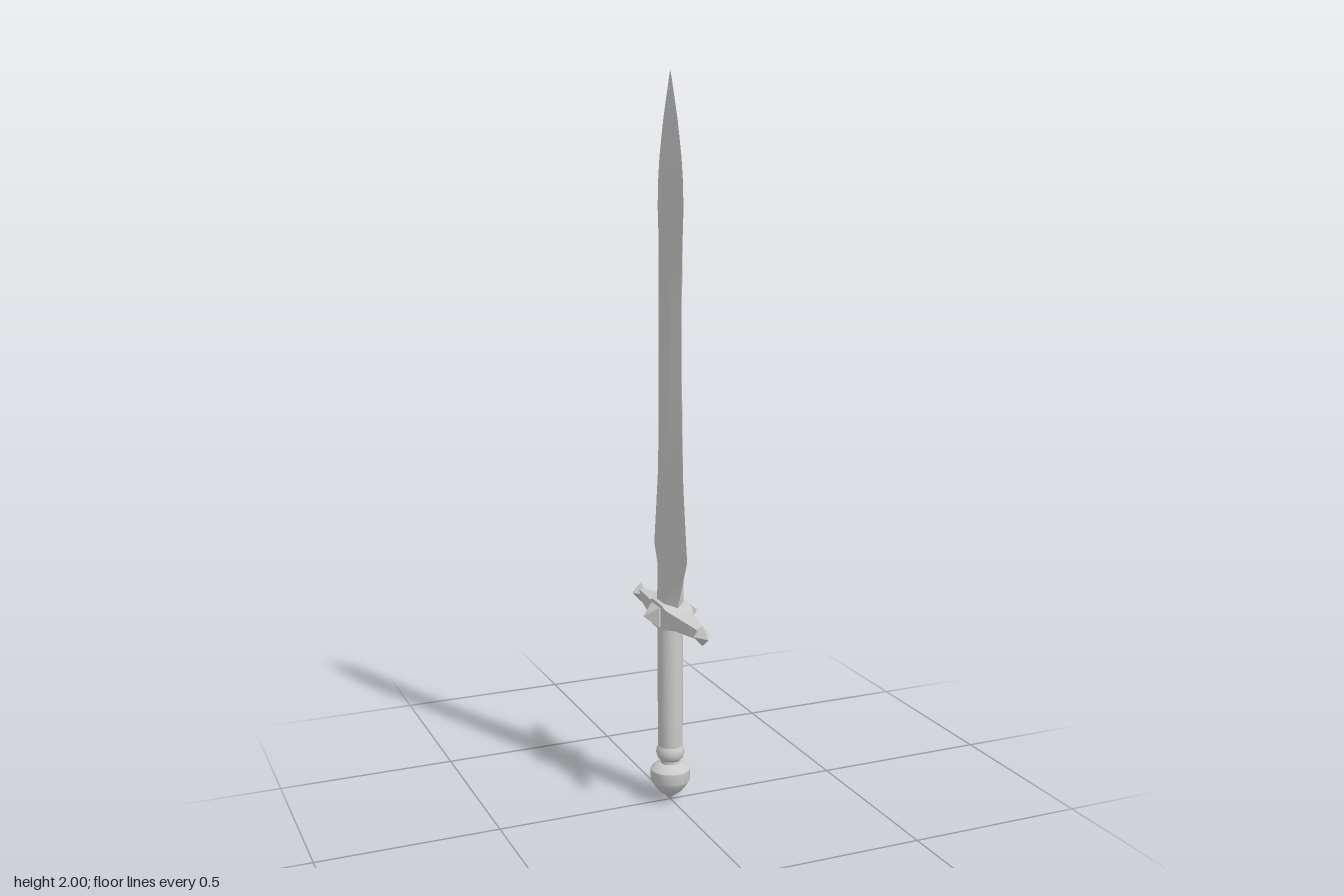
import * as THREE from 'three';
import { toCreasedNormals } from 'three/addons/utils/BufferGeometryUtils.js';

const grey = new THREE.MeshStandardMaterial({ color: 0xcccccc });

// Skins a stack of closed rings [[x, y, z], ...] running up +y, with capped ends.
function loft(rings, crease = 0.5) {
  const n = rings[0].length, pos = [];
  const tri = (a, b, c) => pos.push(...a, ...b, ...c);
  for (let r = 0; r < rings.length - 1; r++) {
    for (let i = 0; i < n; i++) {
      const j = (i + 1) % n, lo = rings[r], hi = rings[r + 1];
      tri(lo[i], hi[i], lo[j]);
      tri(lo[j], hi[i], hi[j]);
    }
  }
  const first = rings[0], last = rings[rings.length - 1];
  for (let i = 1; i < n - 1; i++) {
    tri(first[0], first[i], first[i + 1]);
    tri(last[0], last[i + 1], last[i]);
  }
  const geo = new THREE.BufferGeometry();
  geo.setAttribute('position', new THREE.Float32BufferAttribute(pos, 3));
  return toCreasedNormals(geo, crease);
}

const rect = ([y, w, d]) => [[w, y, d], [-w, y, d], [-w, y, -d], [w, y, -d]];
const diamond = ([y, w, d]) => [[w, y, 0], [0, y, d], [-w, y, 0], [0, y, -d]];

// Blade section: sharp edges at +z and -z, two ridges a side, a hollow between them.
function bladeRing([y, w, t, ridge, hollow]) {
  return [
    [t * hollow, y, 0], [t, y, ridge], [0, y, w], [-t, y, ridge],
    [-t * hollow, y, 0], [-t, y, -ridge], [0, y, -w], [t, y, -ridge],
  ];
}

export function createModel() {
  const sword = new THREE.Group();
  sword.name = 'sword';
  const add = (parent, name, geo) => {
    const mesh = new THREE.Mesh(geo, grey);
    mesh.name = name;
    parent.add(mesh);
    return mesh;
  };

  // Leaf-shaped blade: height, half width, half thickness, ridge offset, hollow
  add(sword, 'blade', loft([
    [0.54, 0.045, 0.03, 0.022, 1],
    [0.58, 0.055, 0.029, 0.025, 1],
    [0.72, 0.114, 0.019, 0.042, 1],
    [0.91, 0.089, 0.018, 0.042, 1],
    [0.96, 0.085, 0.018, 0.04, 0.75],
    [1.2, 0.073, 0.018, 0.037, 0.75],
    [1.4, 0.071, 0.018, 0.037, 0.75],
    [1.55, 0.079, 0.018, 0.038, 0.75],
    [1.65, 0.086, 0.018, 0.038, 0.8],
    [1.72, 0.082, 0.018, 0.03, 1],
    [1.78, 0.073, 0.015, 0.022, 1],
    [1.88, 0.046, 0.009, 0.012, 1],
    [2, 0.0005, 0.0005, 0.0002, 1],
  ].map(bladeRing), 0.4));

  // Crossguard along z, with a pointed finial on each arm and a stud on each face
  const guard = new THREE.Group();
  guard.name = 'crossguard';
  guard.position.y = 0.547;
  sword.add(guard);
  const half = [[0, 0.04, 0.037], [0.03, 0.04, 0.036], [0.058, 0.039, 0.028], [0.09, 0.028, 0.021], [0.2, 0.01, 0.013]];
  const mirrored = half.slice(1).reverse().map(([y, w, d]) => [-y, w, d]);
  add(guard, 'guardBar', loft([...mirrored, ...half].map(rect), 0.3)).rotation.x = Math.PI / 2;

  for (const side of [1, -1]) {
    const finial = loft([[0.195, 0.011, 0.013], [0.215, 0.026, 0.028], [0.254, 0.0005, 0.0005]].map(diamond), 0.1);
    add(guard, side > 0 ? 'frontFinial' : 'backFinial', finial).rotation.x = side * Math.PI / 2;
    const stud = loft([[0.03, 0.02, 0.02], [0.045, 0.028, 0.028], [0.08, 0.0005, 0.0005]].map(rect), 0.1);
    add(guard, side > 0 ? 'leftStud' : 'rightStud', stud).rotation.z = -side * Math.PI / 2;
  }

  // Turned parts of the hilt
  const turned = (name, points) => add(sword, name, toCreasedNormals(
    new THREE.LatheGeometry(points.map(([r, y]) => new THREE.Vector2(r, y)), 16), 0.6));
  turned('grip', [[0.032, 0.14], [0.034, 0.16], [0.035, 0.25], [0.035, 0.53], [0, 0.53]]);
  turned('gripRing', [[0.026, 0.118], [0.036, 0.128], [0.04, 0.142], [0.038, 0.155], [0.033, 0.164]]);
  turned('pommel', [
    [0, 0], [0.012, 0.014], [0.03, 0.026], [0.042, 0.04], [0.055, 0.06],
    [0.056, 0.093], [0.045, 0.104], [0.028, 0.112], [0.027, 0.13],
  ]);
  return sword;
}
